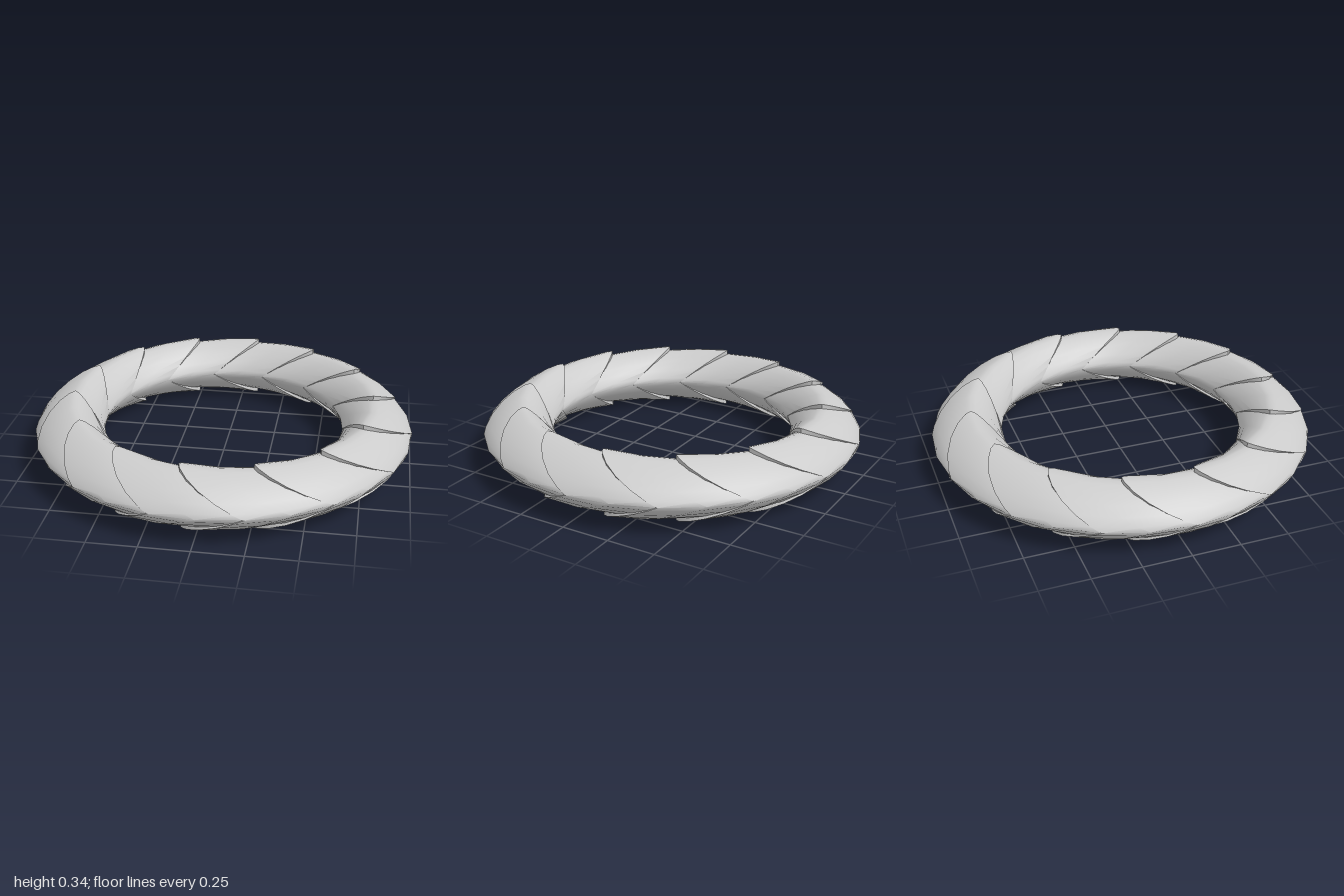
import * as THREE from 'three';
import { toCreasedNormals } from 'three/addons/utils/BufferGeometryUtils.js';

const COUNT = 14;            // overlapping scales around the ring
const SIDES = 24;            // points around the cross-section
const PITCH = (Math.PI * 2) / COUNT;
const LAG = 20.5 * Math.PI / 180; // how far the equator trails the tip
const RIDGE = 0.79, OUTER = 0.21, INNER = 0.157, HALF = 0.17;

const power = (v) => Math.sign(v) * Math.pow(Math.abs(v), 1.43);

// One sleeve with a pointed leading edge above and below, narrowing toward its hidden tail
function scaleGeometry() {
  // angle behind the tip (in pitches), height factor, width factor
  const rings = [
    [-1.5, 0.79, 0.965],
    [-1.0, 0.86, 0.98],
    [-0.5, 0.93, 0.995],
    [0, 1, 1],
    [0, 0.75, 0.85], // end face turned inward
  ];
  const pos = [], index = [];
  for (const [back, high, wide] of rings) {
    for (let j = 0; j < SIDES; j++) {
      const t = (j / SIDES) * Math.PI * 2;
      const u = power(Math.cos(t)), v = power(Math.sin(t));
      const a = back * PITCH - LAG * (1 - Math.abs(v));
      const r = RIDGE + u * wide * (u > 0 ? OUTER : INNER);
      pos.push(r * Math.sin(a), HALF * (1 + v * high), -r * Math.cos(a));
    }
  }
  for (let i = 0; i < rings.length - 1; i++) {
    for (let j = 0; j < SIDES; j++) {
      const k = (j + 1) % SIDES;
      const a = i * SIDES + j, b = i * SIDES + k;
      const c = a + SIDES, d = b + SIDES;
      index.push(a, b, c, b, d, c);
    }
  }
  const geo = new THREE.BufferGeometry();
  geo.setAttribute('position', new THREE.Float32BufferAttribute(pos, 3));
  geo.setIndex(index);
  return toCreasedNormals(geo, 0.95);
}

export function createModel() {
  const group = new THREE.Group();
  group.name = 'scaledRing';
  const material = new THREE.MeshStandardMaterial({ color: 0xcccccc });
  const geometry = scaleGeometry();

  // Ring of identical scales, each tip lying over the tail of the next
  for (let i = 0; i < COUNT; i++) {
    const scale = new THREE.Mesh(geometry, material);
    scale.name = `ringScale${i + 1}`;
    scale.rotation.y = -(0.115 + i * PITCH);
    group.add(scale);
  }
  return group;
}
